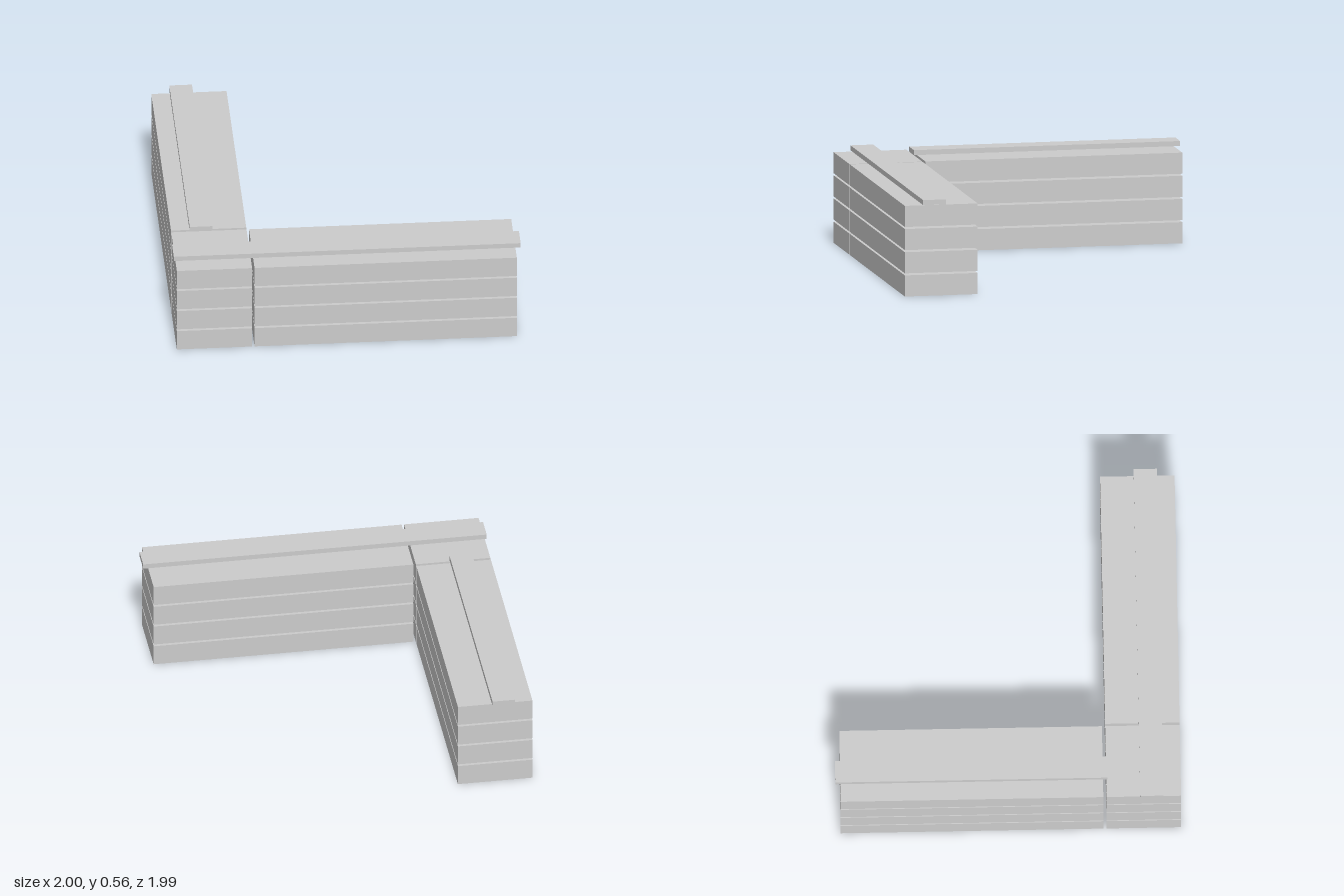
import * as THREE from 'three';

export function createModel() {
  const group = new THREE.Group();
  const concrete = new THREE.MeshStandardMaterial({ color: 0xcccccc });
  concrete.name = 'concrete grey';

  // Box given by its extents on each axis
  function block(name, [x0, x1], [y0, y1], [z0, z1]) {
    const mesh = new THREE.Mesh(new THREE.BoxGeometry(x1 - x0, y1 - y0, z1 - z0), concrete);
    mesh.position.set((x0 + x1) / 2, (y0 + y1) / 2, (z0 + z1) / 2);
    mesh.name = name;
    group.add(mesh);
  }

  const wallX = [-0.99, -0.556];
  const wallZ = [0.565, 0.993];

  // Four stacked courses with narrow open joints
  const pitch = 0.135, height = 0.123;
  for (let i = 0; i < 4; i++) {
    const y = [i * pitch, i * pitch + height];
    block(`cornerBlock${i + 1}`, wallX, y, wallZ);
    block(`frontWallBlock${i + 1}`, [-0.542, 0.97], y, wallZ);
    block(`sideWallBlock${i + 1}`, wallX, y, [-0.964, 0.546]);
  }

  // Flat capping strips just above the walls
  const capY = [0.534, 0.563];
  block('frontCap', [-1, 1], capY, [0.758, 0.892]);
  block('sideCap', [-0.884, -0.753], capY, [-0.993, 0.572]);

  return group;
}
